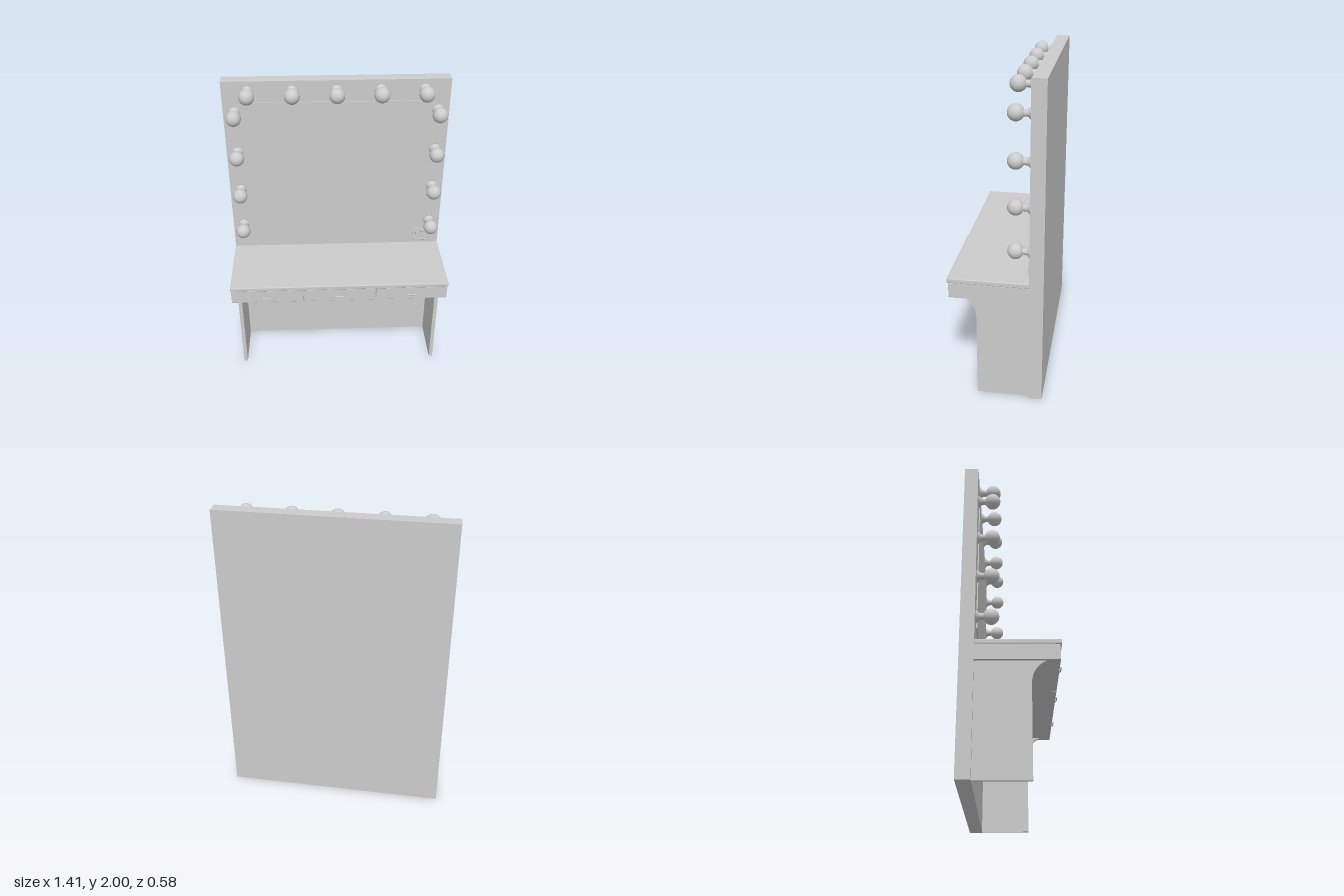
import * as THREE from 'three';
import { RoundedBoxGeometry } from 'three/addons/geometries/RoundedBoxGeometry.js';

const WIDTH = 1.414;
const WALL = -0.205; // front face of the back panel

export function createModel() {
  const root = new THREE.Group();
  const mat = new THREE.MeshStandardMaterial({ color: 0xcccccc });

  const add = (name, geo, x = 0, y = 0, z = 0, parent = root) => {
    const mesh = new THREE.Mesh(geo, mat);
    mesh.name = name;
    mesh.position.set(x, y, z);
    parent.add(mesh);
    return mesh;
  };
  // Box given by its limits on each axis
  const box = (name, [x0, x1], [y0, y1], [z0, z1], parent = root, radius = 0) => {
    const size = [x1 - x0, y1 - y0, z1 - z0];
    const geo = radius ? new RoundedBoxGeometry(...size, 2, radius) : new THREE.BoxGeometry(...size);
    return add(name, geo, (x0 + x1) / 2, (y0 + y1) / 2, (z0 + z1) / 2, parent);
  };
  const half = WIDTH / 2;

  // Back panel and mirror
  box('backPanel', [-half, half], [0, 2], [-0.29, WALL]);
  box('mirror', [-0.558, 0.558], [0.943, 1.863], [WALL, WALL + 0.007]);

  // Table top and drawer case
  box('tableTop', [-half, half], [0.77, 0.8], [WALL, 0.286], root, 0.006);
  box('drawerCase', [-half, half], [0.675, 0.77], [WALL, 0.25]);

  // Three drawers with bar handles
  const pitch = WIDTH / 3;
  for (let i = -1; i <= 1; i++) {
    const drawer = new THREE.Group();
    drawer.name = 'drawer';
    drawer.position.x = i * pitch;
    root.add(drawer);
    const w = pitch / 2 - 0.003;
    box('drawerFront', [-w, w], [0.675, 0.767], [0.25, 0.277], drawer, 0.003);
    const bar = new THREE.CatmullRomCurve3([
      [-0.036, 0.712, 0.275], [-0.033, 0.715, 0.287], [-0.02, 0.717, 0.29],
      [0.02, 0.717, 0.29], [0.033, 0.715, 0.287], [0.036, 0.712, 0.275],
    ].map((p) => new THREE.Vector3(...p)));
    add('handle', new THREE.TubeGeometry(bar, 20, 0.004, 8), 0, 0, 0, drawer);
  }

  // Side legs with a curved bracket under the drawers; shape x is -z
  const side = new THREE.Shape();
  side.moveTo(-WALL, 0);
  side.lineTo(-WALL, 0.675);
  side.lineTo(-0.2, 0.675);
  side.bezierCurveTo(-0.15, 0.655, -0.115, 0.605, -0.115, 0.54);
  side.lineTo(-0.115, 0);
  side.closePath();
  const legGeo = new THREE.ExtrudeGeometry(side, { depth: 0.025, bevelEnabled: false, curveSegments: 16 });
  legGeo.translate(0, 0, -0.0125).rotateY(Math.PI / 2);
  for (const s of [-1, 1]) add('sideLeg', legGeo, s * 0.673, 0, 0);

  // Bulbs on flared sockets, along the top and down both sides
  const socketGeo = new THREE.LatheGeometry([
    [0, 0], [0.037, 0], [0.037, 0.006], [0.028, 0.015], [0.021, 0.024], [0.02, 0.05], [0.024, 0.056],
  ].map((p) => new THREE.Vector2(...p)), 24);
  socketGeo.rotateX(Math.PI / 2);
  const bulbGeo = new THREE.SphereGeometry(0.048, 28, 20);
  const spots = [-2, -1, 0, 1, 2].map((i) => [i * 0.273, 1.935]);
  for (const y of [0.978, 1.251, 1.525, 1.798]) spots.push([-0.636, y], [0.636, y]);
  for (const [x, y] of spots) {
    const light = new THREE.Group();
    light.name = 'light';
    light.position.set(x, y, WALL);
    root.add(light);
    add('socket', socketGeo, 0, 0, 0, light);
    add('bulb', bulbGeo, 0, 0, 0.09, light);
  }

  // Power outlet under the lights on the model's left
  const outlet = new THREE.Group();
  outlet.name = 'outlet';
  outlet.position.set(0.605, 0.862, WALL);
  root.add(outlet);
  box('outletPlate', [-0.073, 0.073], [-0.048, 0.048], [0, 0.006], outlet, 0.002);
  box('outletInsert', [-0.056, 0.056], [-0.028, 0.028], [0.006, 0.01], outlet);
  for (const s of [-1, 1]) {
    box('outletRib', [-0.03, 0.03], [s * 0.036 - 0.007, s * 0.036 + 0.007], [0.006, 0.013], outlet, 0.002);
    box('outletSocket', [s * 0.047 - 0.006, s * 0.047 + 0.006], [-0.024, 0.024], [0.01, 0.013], outlet);
  }

  return root;
}
